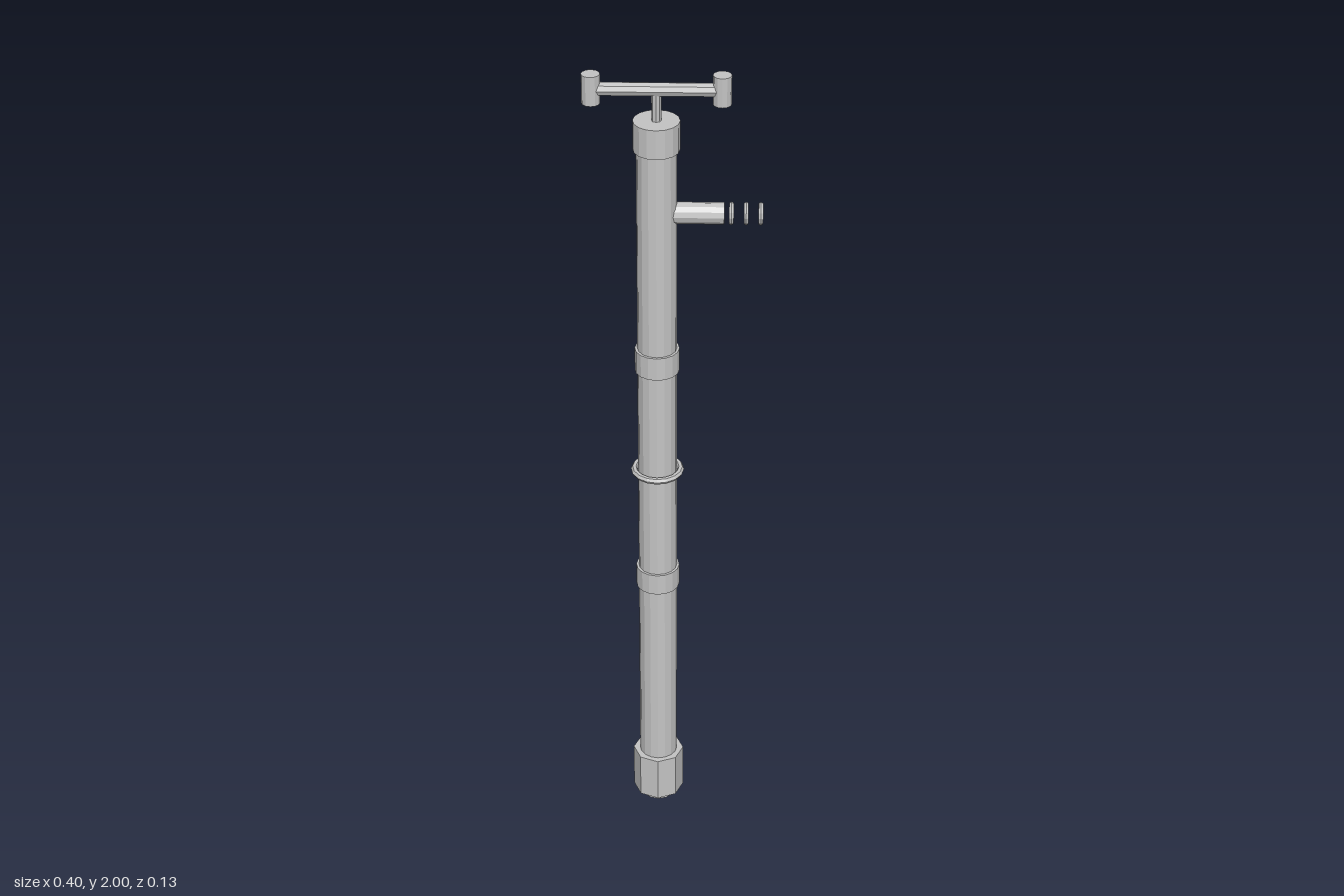
import * as THREE from 'three';

export function createModel() {
  const model = new THREE.Group();
  const steel = new THREE.MeshStandardMaterial({ color: 0xc4c4c4, flatShading: true });
  steel.name = 'grey steel';
  const AXIS = -0.038; // x of the barrel centre line

  const add = (name, geometry, x, y) => {
    const mesh = new THREE.Mesh(geometry, steel);
    mesh.name = name;
    mesh.position.set(x, y, 0);
    model.add(mesh);
    return mesh;
  };
  // upright cylinder from y0 to y1
  const post = (name, r, y0, y1, sides = 16, x = AXIS) =>
    add(name, new THREE.CylinderGeometry(r, r, y1 - y0, sides), x, (y0 + y1) / 2);
  // cylinder along x from x0 to x1
  const rail = (name, r, x0, x1, y, sides) => {
    const mesh = add(name, new THREE.CylinderGeometry(r, r, x1 - x0, sides), (x0 + x1) / 2, y);
    mesh.rotation.z = Math.PI / 2;
  };

  // barrel with its foot and collars
  post('footValve', 0.04, 0, 0.03, 12);
  post('footNut', 0.062, 0.02, 0.137, 8);
  post('barrel', 0.046, 0.03, 1.86);
  post('lowerCollar', 0.052, 0.645, 0.7);
  post('upperCollar', 0.052, 1.25, 1.308);
  post('topCap', 0.053, 1.818, 1.889);

  // clamp ring round the middle of the barrel
  const ring = new THREE.TorusGeometry(0.055, 0.008, 6, 16);
  ring.rotateX(Math.PI / 2);
  add('clampRing', ring, AXIS, 0.975);

  // T handle
  post('plungerRod', 0.011, 1.87, 1.965, 8);
  rail('handleBar', 0.016, -0.182, 0.107, 1.964, 8);
  for (const x of [-0.182, 0.107]) post('handleGrip', 0.021, 1.93, 2, 12, x);

  // outlet spout and the hose rings beyond it
  rail('spout', 0.025, AXIS, 0.114, 1.66, 12);
  for (const x of [0.13, 0.163, 0.196]) {
    const coil = new THREE.TorusGeometry(0.0205, 0.006, 6, 12);
    coil.rotateY(Math.PI / 2);
    add('hoseRing', coil, x, 1.66);
  }
  return model;
}
